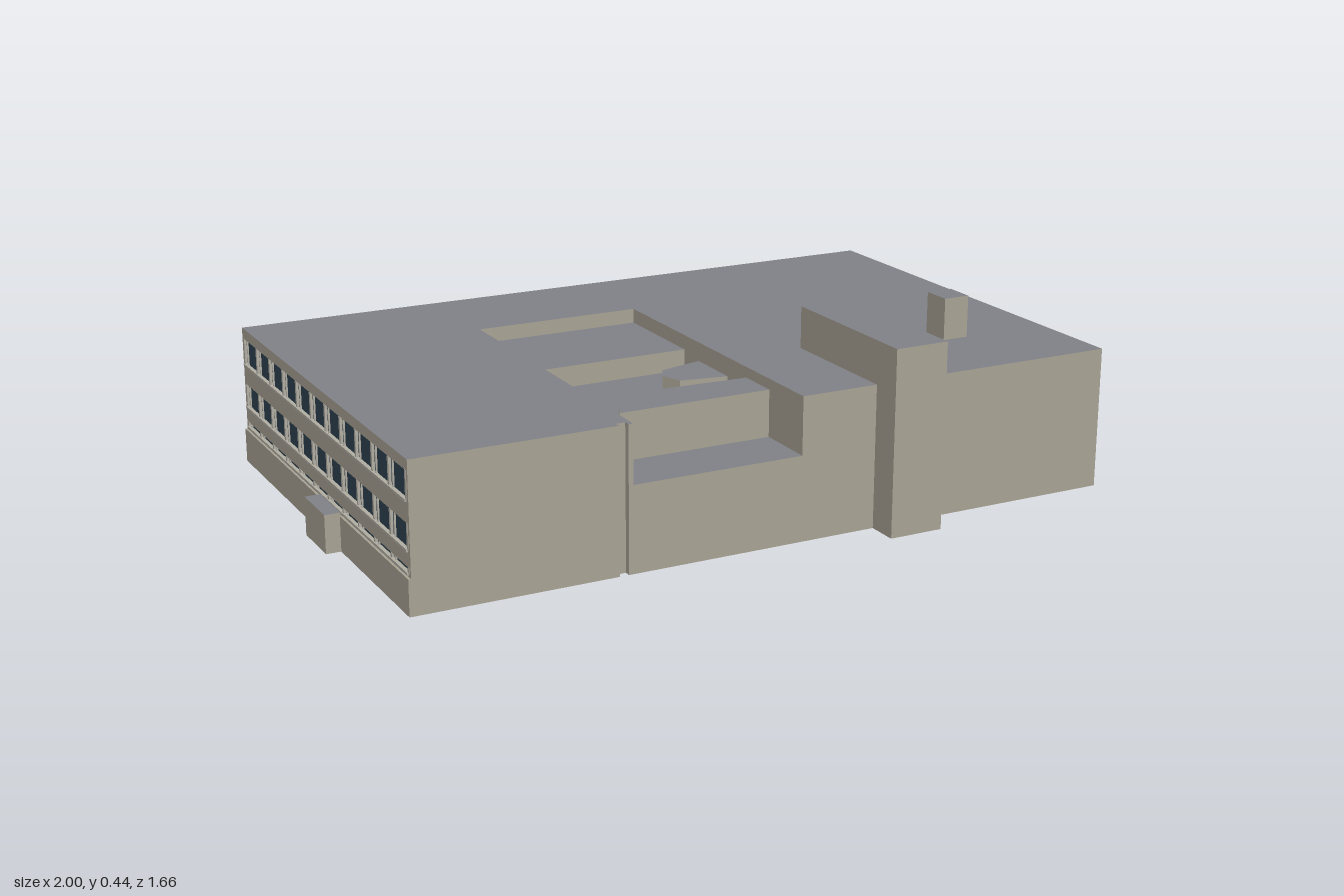
import * as THREE from 'three';

const mat = (color) => new THREE.MeshStandardMaterial({ color, side: THREE.DoubleSide });
const WALL = mat(0xa8a294), ROOF = mat(0x808186), GLASS = mat(0x304350), FRAME = mat(0xb0aca2);
const DARK = mat(0x232b30), BLUE = mat(0x24477a);
const U = 0.856, V = 0.546, H = 0.335; // half length, half depth, roof height

function add(parent, name, geometry, material) {
  const mesh = new THREE.Mesh(geometry, material);
  mesh.name = name;
  parent.add(mesh);
  return mesh;
}

// box given by its limits
function box(parent, name, x0, x1, y0, y1, z0, z1, material) {
  const mesh = add(parent, name, new THREE.BoxGeometry(x1 - x0, y1 - y0, z1 - z0), material);
  mesh.position.set((x0 + x1) / 2, (y0 + y1) / 2, (z0 + z1) / 2);
  return mesh;
}

const rect = (x0, x1, y0, y1) => [[x0, y0], [x1, y0], [x1, y1], [x0, y1]];
const toVectors = (pts) => pts.map(([x, y]) => new THREE.Vector2(x, y));

function shapeOf(pts, holes = []) {
  const shape = new THREE.Shape(toVectors(pts));
  for (const hole of holes) shape.holes.push(new THREE.Path(toVectors(hole)));
  return shape;
}

// flat horizontal surface from plan points [x, z], facing up
function deck(parent, name, pts, y, holes = []) {
  const flip = (p) => p.map(([x, z]) => [x, -z]);
  const geometry = new THREE.ShapeGeometry(shapeOf(flip(pts), holes.map(flip)));
  geometry.rotateX(-Math.PI / 2).translate(0, y, 0);
  return add(parent, name, geometry, ROOF);
}

// upright sheets along plan points, outside on the right of the path
function sheets(parent, name, pts, y0, y1) {
  const pos = [], index = [];
  for (let i = 0; i < pts.length - 1; i++) {
    const [ax, az] = pts[i], [bx, bz] = pts[i + 1], k = i * 4;
    pos.push(ax, y0, az, bx, y0, bz, bx, y1, bz, ax, y1, az);
    index.push(k, k + 1, k + 2, k, k + 2, k + 3);
  }
  const geometry = new THREE.BufferGeometry();
  geometry.setAttribute('position', new THREE.Float32BufferAttribute(pos, 3));
  geometry.setIndex(index);
  geometry.computeVertexNormals();
  return add(parent, name, geometry, WALL);
}

// hollow block without a bottom
function openBlock(parent, name, x0, x1, y0, y1, z0, z1) {
  const pts = [[x0, z1], [x1, z1], [x1, z0], [x0, z0]];
  sheets(parent, name + 'Walls', [...pts, pts[0]], y0, y1);
  deck(parent, name + 'Top', pts, y1);
}

// wall with window bands; local x runs along it and z points outward
function facade(name, half, bands, openings = []) {
  const group = new THREE.Group();
  group.name = name;
  const holes = [...bands, ...openings].map((b) => rect(...b));
  add(group, 'wall', new THREE.ShapeGeometry(shapeOf(rect(-half, half, 0, H), holes)), WALL);
  for (const [x0, x1, y0, y1] of bands) {
    const glass = add(group, 'glass', new THREE.PlaneGeometry(x1 - x0, y1 - y0), GLASS);
    glass.position.set((x0 + x1) / 2, (y0 + y1) / 2, -0.005);
    const n = Math.max(1, Math.round((x1 - x0) / 0.1)), step = (x1 - x0) / n;
    for (let i = 0; i <= n; i++) {
      const x = x0 + i * step;
      box(group, 'mullion', x - 0.004, x + 0.004, y0, y1, -0.006, 0.001, FRAME);
      if (i < n) box(group, 'thinMullion', x + 0.018, x + 0.02, y0, y1, -0.006, -0.001, FRAME);
    }
    box(group, 'sill', x0, x1, y0 - 0.004, y0 + 0.002, -0.006, 0.004, FRAME);
  }
  return group;
}

export function createModel() {
  const model = new THREE.Group();
  model.name = 'officeBuilding';
  const b = new THREE.Group();
  b.name = 'building';
  b.rotation.y = -0.3864;
  model.add(b);

  const rows = [[0.035, 0.092], [0.14, 0.197], [0.247, 0.31]];

  // side with three full window rows
  const left = facade('leftFacade', V, rows.map((r) => [-0.535, 0.535, ...r]));
  left.position.x = U;
  left.rotation.y = Math.PI / 2;
  b.add(left);

  // opposite side: two rows, a slot and a low plinth
  const right = facade('rightFacade', V, [...rows.slice(1).map((r) => [-0.535, 0.535, ...r]), [-0.535, 0.535, 0.09, 0.102]]);
  right.position.x = -U;
  right.rotation.y = -Math.PI / 2;
  box(right, 'plinth', -V, V, 0, 0.082, 0, 0.006, WALL);
  b.add(right);
  openBlock(b, 'sideBox', -0.897, -U, 0, 0.09, 0.005, 0.137);

  // back with windows and entrance
  const e0 = -0.018, e1 = 0.175;
  const bands = [[-0.845, 0.38, ...rows[2]]];
  for (const r of rows.slice(0, 2)) bands.push([-0.845, e0 - 0.012, ...r], [e1 + 0.03, 0.38, ...r]);
  const back = facade('backFacade', U, bands, [[e0, e1, 0.001, 0.2]]);
  back.position.z = -V;
  back.rotation.y = Math.PI;
  b.add(back);
  box(back, 'entranceGlass', e0, e1, 0, 0.2, -0.012, -0.008, DARK);
  box(back, 'entrancePanel', e0 + 0.015, e1 - 0.015, 0.115, 0.19, -0.008, -0.003, BLUE);
  box(back, 'canopy', e0 - 0.005, e1 + 0.005, 0.096, 0.106, -0.008, 0.012, FRAME);
  for (let i = 0; i <= 4; i++) {
    const x = e0 + ((e1 - e0) * i) / 4;
    box(back, 'doorPost', x - 0.003, x + 0.003, 0, i % 4 ? 0.1 : 0.2, -0.008, 0.004, FRAME);
  }
  box(back, 'entrancePier', e1 + 0.004, e1 + 0.018, 0, 0.2, 0, 0.008, FRAME);
  box(back, 'lampArm', 0.206, 0.21, 0.1, 0.104, 0, 0.02, DARK);
  box(back, 'blueLamp', 0.202, 0.214, 0.08, 0.1, 0.012, 0.024, BLUE);

  // stair shaft at the back
  openBlock(b, 'backShaft', -0.525, -0.4, 0, 0.296, -0.637, -V);

  // front wall, with a groove, a low middle and a gap behind the tower
  const cx0 = -0.357, cx1 = 0.053, t0 = 0.24, t1 = 0.371;
  sheets(b, 'frontWallRight', [[-U, V], [-0.39, V], [-0.39, V - 0.015], [-0.368, V - 0.015], [-0.368, V], [cx0, V]], 0, H);
  sheets(b, 'frontWallLow', [[cx0, V], [cx1, V]], 0, 0.2);
  sheets(b, 'frontWallMiddle', [[cx1, V], [t0, V]], 0, H);
  sheets(b, 'frontWallLeft', [[t1, V], [U, V]], 0, H);

  // main roof, cut out for the court, tower and roof box
  deck(b, 'mainRoof', [
    [-U, V], [-0.39, V], [-0.39, V - 0.015], [-0.368, V - 0.015], [-0.368, V], [cx0, V], [cx0, -0.27], [cx1, -0.27], [cx1, V],
    [t0, V], [t0, 0.22], [t1, 0.22], [t1, V], [U, V], [U, -V], [-U, -V],
  ], H, [rect(0.572, 0.637, 0.245, 0.317)]);

  // tower reaching to the ground in front of the wall
  sheets(b, 'towerShaft', [[t0, V], [t0, 0.621], [t1, 0.621], [t1, V]], 0, H);
  openBlock(b, 'tower', t0, t1, H, 0.435, 0.22, 0.621);
  openBlock(b, 'roofBox', 0.572, 0.637, H, 0.435, 0.245, 0.317);

  // sunken court: terrace, lower floor, upper floor
  deck(b, 'terrace', rect(cx0, cx1, 0.4, V), 0.2);
  deck(b, 'courtFloor', rect(cx0, cx1, 0, 0.4), 0.25);
  deck(b, 'upperCourtFloor', rect(cx0, cx1, -0.27, 0), 0.3);
  sheets(b, 'courtStep', [[cx0, 0], [cx1, 0]], 0.25, 0.3);
  sheets(b, 'courtSides', [[cx0, V], [cx0, 0.4]], 0.2, H);
  sheets(b, 'courtSides', [[cx1, 0.4], [cx1, V]], 0.2, H);
  sheets(b, 'courtSides', [[cx0, 0.4], [cx0, 0]], 0.25, H);
  sheets(b, 'courtSides', [[cx1, 0], [cx1, 0.4]], 0.25, H);
  sheets(b, 'courtBack', [[cx0, 0], [cx0, -0.27], [cx1, -0.27], [cx1, 0]], 0.3, H);
  sheets(b, 'terraceWall', [[cx0, 0.4], [cx1, 0.4]], 0.2, 0.31);

  // raised parts inside the court and the corner of the terrace
  const raised = (name, pts, y0, y1) => {
    sheets(b, name + 'Sides', [...pts, pts[0]], y0, y1);
    deck(b, name + 'Top', pts, y1);
  };
  raised('frontMound', [[cx0, 0.4], [cx1, 0.4], [cx1, 0.296], [-0.18, 0.284], [-0.245, 0.25], [-0.303, 0.183], [-0.366 + 0.01, 0.214]], 0.25, 0.31);
  raised('sideMound', [[-0.06, 0.19], [cx1, 0.21], [cx1, 0.07], [-0.057, 0.099], [-0.078, 0.14]], 0.25, 0.29);
  raised('terraceCorner', [[cx0, 0.48], [-0.328, 0.425], [cx0, 0.4]], 0.2, H);

  return model;
}
